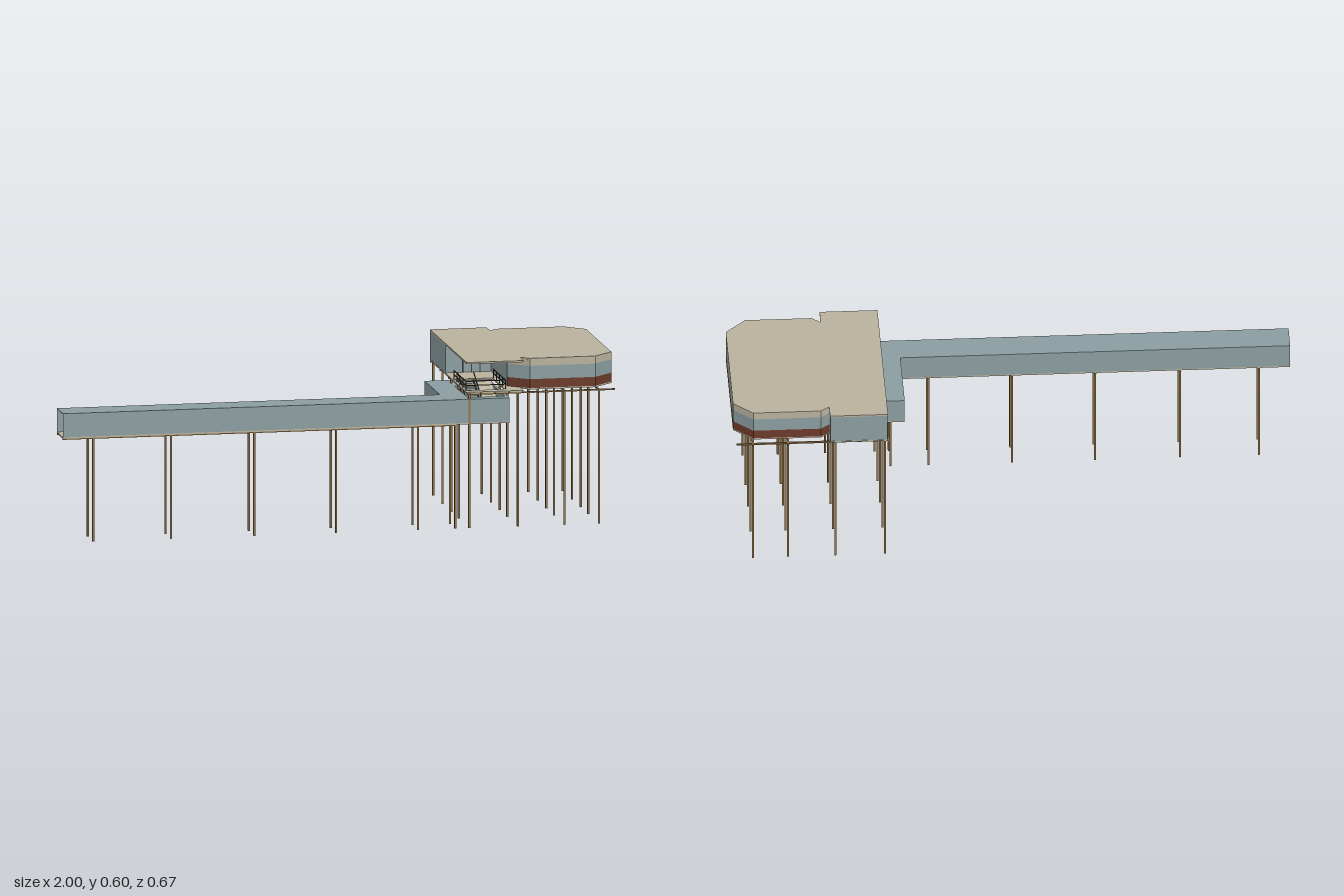
import * as THREE from 'three';

const mat = (name, color, side = THREE.FrontSide) => {
  const m = new THREE.MeshStandardMaterial({ color, side });
  m.name = name;
  return m;
};

export function createModel() {
  const root = new THREE.Group();
  root.name = 'elevatedPavilion';
  const glass = mat('blueGreyGlass', 0x8a9da0, THREE.DoubleSide);
  const beige = mat('beigePanel', 0xb8b19d, THREE.DoubleSide);
  const rust = mat('rustBrownPanel', 0x6b3a28, THREE.DoubleSide);
  const wood = mat('brownTimber', 0x8f7148);
  const dark = mat('darkFrame', 0x453c31);

  const add = (name, geo, m, parent = root) => {
    const mesh = new THREE.Mesh(geo, m);
    mesh.name = name;
    parent.add(mesh);
    return mesh;
  };
  const group = (name) => {
    const g = new THREE.Group();
    g.name = name;
    root.add(g);
    return g;
  };
  // Box given by its minimum and maximum corners
  const box = (name, a, b, m, parent) => {
    const mesh = add(name, new THREE.BoxGeometry(b[0] - a[0], b[1] - a[1], b[2] - a[2]), m, parent);
    mesh.position.set((a[0] + b[0]) / 2, (a[1] + b[1]) / 2, (a[2] + b[2]) / 2);
    return mesh;
  };
  // Horizontal slab from an [x, z] outline, with optional holes
  const slab = (name, pts, y0, y1, m, holes = [], parent) => {
    const v = (list) => list.map(([x, z]) => new THREE.Vector2(x, -z));
    const shape = new THREE.Shape(v(pts));
    holes.forEach((h) => shape.holes.push(new THREE.Path(v(h))));
    const geo = new THREE.ExtrudeGeometry(shape, { depth: y1 - y0, bevelEnabled: false });
    geo.rotateX(-Math.PI / 2).translate(0, y0, 0);
    return add(name, geo, m, parent);
  };
  // Thin vertical wall following an [x, z] path
  const wall = (name, pts, y0, y1, m, parent) => {
    const pos = [];
    for (let i = 0; i + 1 < pts.length; i++) {
      const [ax, az] = pts[i], [bx, bz] = pts[i + 1];
      pos.push(ax, y0, az, bx, y0, bz, bx, y1, bz, ax, y0, az, bx, y1, bz, ax, y1, az);
    }
    const geo = new THREE.BufferGeometry();
    geo.setAttribute('position', new THREE.Float32BufferAttribute(pos, 3));
    geo.computeVertexNormals();
    return add(name, geo, m, parent);
  };
  const rect = (x0, x1, z0, z1) => [[x0, z0], [x1, z0], [x1, z1], [x0, z1]];

  // Covered walkway: floor, glass walls, glass roof, open at the far end
  const walkway = group('walkway');
  const ell = [[-1, 0.333], [0.61, 0.333], [0.61, -0.052], [0.38, -0.052], [0.38, 0.222], [-1, 0.222]];
  const stairHole = rect(0.465, 0.6, 0.07, 0.295);
  slab('walkwayFloor', ell, 0.373, 0.378, beige, [], walkway);
  wall('walkwayWalls', ell, 0.378, 0.463, glass, walkway);
  slab('walkwayRoof', ell, 0.461, 0.463, glass, [stairHole], walkway);

  // Walkway trestles
  const trestles = group('walkwayTrestles');
  const r = 0.0035;
  const post = (name, x, z, top, parent) => box(name, [x - r, 0, z - r], [x + r, top, z + r], wood, parent);
  for (const x of [-0.89, -0.61, -0.31, -0.015, 0.28, 0.415]) {
    for (const z of [0.329, 0.232]) post('walkwayPost', x, z, 0.373, trestles);
    box('walkwayCrossBeam', [x - r, 0.367, 0.224], [x + r, 0.373, 0.333], wood, trestles);
  }
  for (const z of [0.329, 0.232]) {
    box('walkwayLongBeam', [-1, 0.369, z - r], [0.415, 0.373, z + r], wood, trestles);
  }

  // Pavilion deck and roof
  const outline = [
    [0.455, -0.335], [0.66, -0.335], [0.66, -0.275], [0.69, -0.3], [0.93, -0.3], [0.998, -0.235],
    [0.998, 0.222], [0.926, 0.294], [0.69, 0.294], [0.66, 0.267], [0.66, 0.332], [0.455, 0.332],
  ];
  slab('pavilionDeck', outline, 0.483, 0.488, beige, [stairHole]);
  slab('pavilionRoof', outline, 0.589, 0.595, beige);

  // Pavilion wall bands around a chamfered room
  const pavilion = group('pavilionWalls');
  const room = [
    [0.62, 0.235], [0.69, 0.294], [0.926, 0.294], [0.998, 0.222],
    [0.998, -0.235], [0.93, -0.3], [0.69, -0.3], [0.62, -0.24],
  ];
  wall('lowerBand', room, 0.488, 0.52, rust, pavilion);
  wall('windowBand', room, 0.52, 0.568, glass, pavilion);
  wall('upperBand', room, 0.568, 0.589, beige, pavilion);
  wall('stairSideWall', [[0.62, 0.235], [0.62, -0.06]], 0.488, 0.589, glass, pavilion);

  // Glass vestibule with door frames facing the stairs
  const vestibule = group('vestibule');
  wall('vestibuleGlass', [[0.62, -0.06], [0.456, -0.06], [0.456, -0.334], [0.659, -0.334], [0.659, -0.275]],
    0.488, 0.589, glass, vestibule);
  for (const x of [0.52, 0.55, 0.58]) {
    box('doorJamb', [x - 0.0015, 0.488, -0.061], [x + 0.0015, 0.553, -0.056], dark, vestibule);
  }
  box('doorHead', [0.5185, 0.552, -0.061], [0.5815, 0.556, -0.056], dark, vestibule);

  // Pavilion posts and beam grid
  const frame = group('pavilionFrame');
  const xs = [0.465, 0.64, 0.808, 0.932];
  const zs = [0.33, 0.14, 0.002, -0.156, -0.325];
  for (const x of xs) {
    for (const z of zs) post('pavilionPost', x, z, 0.478, frame);
    box('pavilionCrossBeam', [x - r, 0.478, -0.335], [x + r, 0.483, 0.335], wood, frame);
  }
  for (const z of zs) {
    // inner beams stop clear of the stairwell
    const start = z === 0.14 ? 0.605 : 0.455;
    box('pavilionLongBeam', [start, 0.478, z - r], [0.99, 0.483, z + r], wood, frame);
  }

  // Stair flight rising towards the vestibule
  const stairs = group('stairs');
  const n = 12, z0 = 0.3, z1 = 0.08, y0 = 0.385, y1 = 0.486;
  for (let i = 0; i < n; i++) {
    const z = z0 + (z1 - z0) * i / (n - 1), y = y0 + (y1 - y0) * i / (n - 1);
    box('stairTread', [0.475, y - 0.004, z - 0.01], [0.528, y, z + 0.01], beige, stairs);
  }
  const slope = Math.atan2(y1 - y0, z0 - z1);
  const length = Math.hypot(y1 - y0, z0 - z1);
  const inclined = (name, x, w, h, lift, m) => {
    const mesh = add(name, new THREE.BoxGeometry(w, h, length), m, stairs);
    mesh.position.set(x, (y0 + y1) / 2 + lift, (z0 + z1) / 2);
    mesh.rotation.x = slope;
  };
  for (const x of [0.473, 0.53]) {
    inclined('stairStringer', x, 0.004, 0.01, -0.004, dark);
    inclined('stairHandrail', x, 0.003, 0.003, 0.028, dark);
  }
  inclined('accessRamp', 0.566, 0.056, 0.004, -0.004, beige);

  // Guard rail around the stairwell
  const guard = group('stairwellRail');
  for (const y of [0.503, 0.518]) {
    for (const x of [0.461, 0.603]) box('sideRail', [x - 0.0015, y, 0.07], [x + 0.0015, y + 0.003, 0.292], dark, guard);
    box('endRail', [0.461, y, 0.289], [0.603, y + 0.003, 0.292], dark, guard);
  }
  for (const x of [0.461, 0.603]) {
    for (let i = 0; i < 5; i++) {
      const z = 0.072 + i * 0.0545;
      box('railPost', [x - 0.0015, 0.488, z - 0.0015], [x + 0.0015, 0.521, z + 0.0015], dark, guard);
    }
  }
  return root;
}
